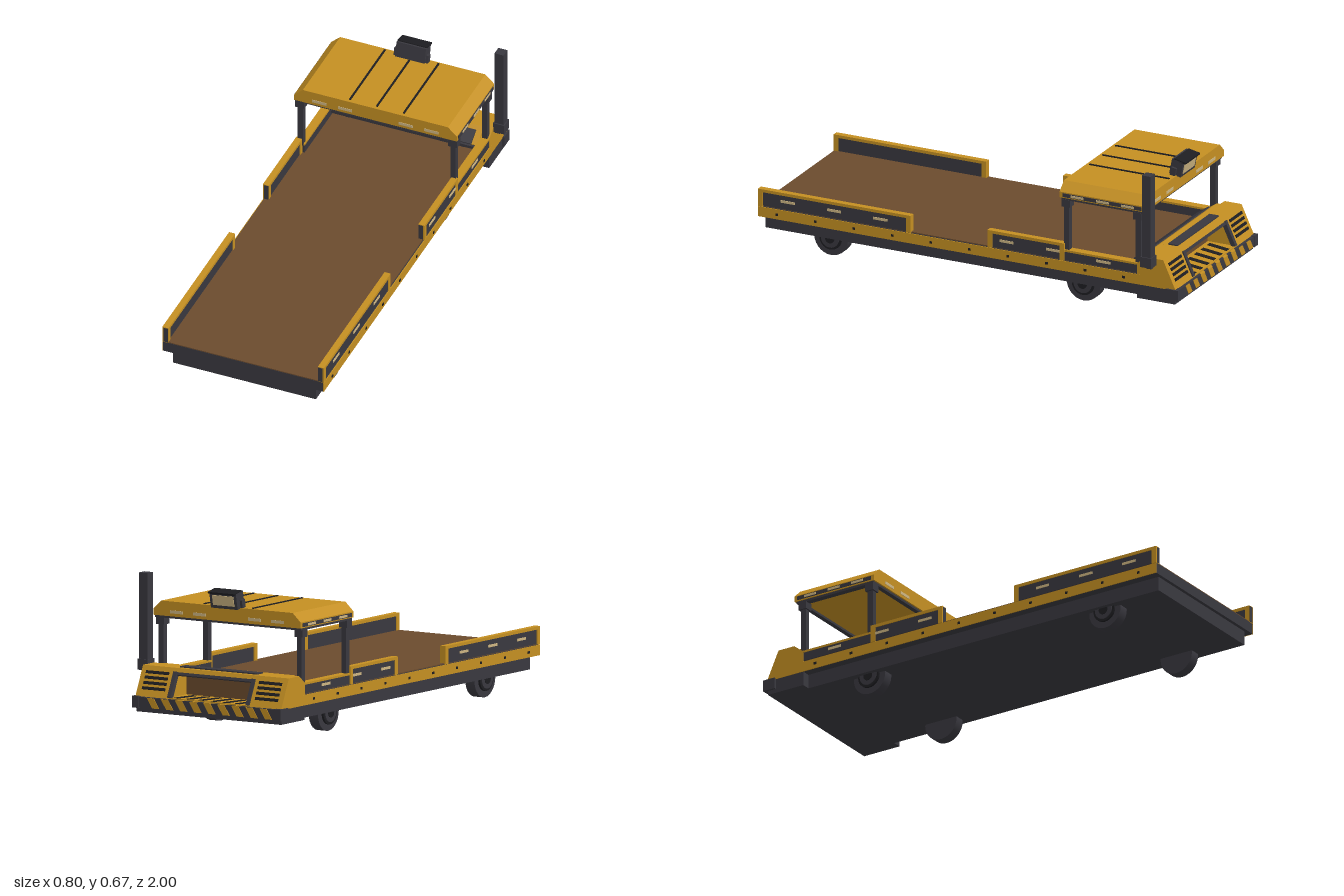
import * as THREE from 'three';

const material = (name, color, side = THREE.FrontSide) => {
  const m = new THREE.MeshStandardMaterial({ color, side });
  m.name = name;
  return m;
};

export function createModel() {
  const yellow = material('yellow paint', 0xc48f22);
  const dark = material('dark steel', 0x39383f);
  const black = material('black trim', 0x1d1d21);
  const brown = material('brown deck', 0x6b4b2d);
  const tan = material('tan lamp', 0xcdb582);

  const root = new THREE.Group();
  const body = new THREE.Group();
  body.name = 'truckBody';
  body.position.x = -0.022;
  root.add(body);

  const add = (name, geometry, mat, parent = body) => {
    const mesh = new THREE.Mesh(geometry, mat);
    mesh.name = name;
    parent.add(mesh);
    return mesh;
  };
  // Box given by its extents
  const box = (name, mat, x0, x1, y0, y1, z0, z1, parent = body) => {
    const g = new THREE.BoxGeometry(x1 - x0, y1 - y0, z1 - z0);
    g.translate((x0 + x1) / 2, (y0 + y1) / 2, (z0 + z1) / 2);
    return add(name, g, mat, parent);
  };
  // The same box on both sides
  const pair = (name, mat, x0, x1, ...rest) => {
    box(name, mat, x0, x1, ...rest);
    box(name, mat, -x1, -x0, ...rest);
  };
  const extrude = (pts, depth) => new THREE.ExtrudeGeometry(
    new THREE.Shape(pts.map(p => new THREE.Vector2(...p))), { depth, bevelEnabled: false });
  // Side profile of [z, y] points carried from x0 to x1
  const profile = (name, mat, pts, x0, x1) =>
    add(name, extrude(pts, x1 - x0).rotateY(-Math.PI / 2).translate(x1, 0, 0), mat);

  // Chassis and deck
  box('chassis', dark, -0.33, 0.33, 0.087, 0.15, -0.98, 0.985);
  box('rearChassis', dark, -0.37, 0.37, 0.087, 0.15, -0.98, -0.8);
  box('bedFrame', dark, -0.369, 0.369, 0.15, 0.197, -0.83, 1);
  box('deck', brown, -0.366, 0.366, 0.197, 0.201, -0.83, 0.999);
  pair('sill', yellow, 0.369, 0.373, 0.15, 0.195, -0.82, 1);
  for (let i = 0; i < 10; i++) {
    const z = 0.91 - i * 0.183;
    pair('sillBolt', black, 0.373, 0.376, 0.167, 0.177, z - 0.006, z + 0.006);
  }

  // Side boards with yellow frames and reflectors
  for (const [z0, z1, marks] of [[0.275, 1, [0.86, 0.64, 0.42]], [-0.455, -0.09, [-0.18, -0.4]]]) {
    pair('boardPanel', dark, 0.349, 0.369, 0.2, 0.263, z0 + 0.005, z1 - 0.005);
    pair('boardCap', yellow, 0.345, 0.373, 0.262, 0.275, z0, z1);
    for (const z of [z0, z1 - 0.022]) pair('boardPost', yellow, 0.345, 0.373, 0.197, 0.262, z, z + 0.022);
    pair('boardEnd', dark, 0.347, 0.367, 0.2, 0.272, z1, z1 + 0.001);
    for (const z of marks) pair('reflector', tan, 0.369, 0.372, 0.229, 0.24, z - 0.033, z + 0.033);
  }
  pair('cabRail', dark, 0.335, 0.37, 0.2, 0.238, -0.81, -0.455);
  pair('cabRailCap', yellow, 0.335, 0.372, 0.238, 0.247, -0.81, -0.455);
  pair('reflector', tan, 0.37, 0.373, 0.217, 0.228, -0.673, -0.607);

  // Wheels with stepped hubs
  for (const s of [-1, 1]) for (const z of [0.69, -0.51]) {
    const wheel = new THREE.Group();
    wheel.name = 'wheel';
    wheel.position.set(s * 0.274, 0.08, z);
    body.add(wheel);
    for (const [name, r, w, off, mat] of [['tyre', 0.08, 0.047, 0, dark], ['rim', 0.052, 0.012, 0.027, black],
      ['hub', 0.042, 0.02, 0.027, dark], ['hubCap', 0.022, 0.024, 0.027, black]]) {
      add(name, new THREE.CylinderGeometry(r, r, w, 28).rotateZ(Math.PI / 2).translate(s * off, 0, 0), mat, wheel);
    }
  }

  // Rear body: two side blocks around an open bay
  const side = [[-0.8, 0.15], [-0.8, 0.245], [-0.845, 0.28], [-0.925, 0.28], [-0.983, 0.153], [-0.983, 0.15]];
  profile('rearBlock', yellow, side, 0.2, 0.372);
  profile('rearBlock', yellow, side, -0.372, -0.2);
  profile('bayTop', yellow, [[-0.82, 0.258], [-0.845, 0.28], [-0.925, 0.28], [-0.936, 0.256]], -0.2, 0.2);
  box('bayLid', dark, -0.197, 0.197, 0.279, 0.285, -0.905, -0.86);
  box('bayWall', brown, -0.2, 0.2, 0.15, 0.262, -0.85, -0.83);
  box('bayFloor', yellow, -0.2, 0.2, 0.15, 0.158, -0.983, -0.85);
  for (let i = 0; i < 6; i++) {
    const x = -0.18 + i * 0.062;
    add('floorStripe', extrude([[x, 0.87], [x + 0.025, 0.87], [x + 0.05, 0.975], [x + 0.025, 0.975]], 0.002)
      .rotateX(-Math.PI / 2).translate(0, 0.158, 0), black);
  }
  // Rear slope, with y along the slope, for frame and louvres
  const slope = new THREE.Group();
  slope.name = 'rearSlope';
  slope.position.set(0, 0.153, -0.983);
  slope.rotation.x = Math.atan2(0.058, 0.127);
  body.add(slope);
  for (const s of [-1, 1]) {
    box('bayFrame', dark, s * 0.2 - 0.009, s * 0.2 + 0.009, 0.005, 0.122, -0.006, 0.014, slope);
    for (let i = 0; i < 4; i++) {
      const y = 0.032 + i * 0.024;
      box('louvre', black, s * 0.288 - 0.058, s * 0.288 + 0.058, y, y + 0.012, -0.005, 0.004, slope);
    }
  }
  box('bayFrameTop', dark, -0.2, 0.2, 0.108, 0.12, -0.004, 0.012, slope);

  // Striped bumper
  box('bumper', dark, -0.372, 0.372, 0.107, 0.153, -0.997, -0.95);
  pair('bumperCap', dark, 0.345, 0.38, 0.105, 0.155, -0.999, -0.94);
  for (let i = 0; i < 9; i++) {
    const x = -0.335 + i * 0.072;
    add('bumperStripe', extrude([[x, 0.108], [x + 0.036, 0.108], [x + 0.064, 0.152], [x + 0.028, 0.152]], 0.002)
      .translate(0, 0, -0.999), yellow);
    if (i > 1 && i < 7) add('bumperTopStripe',
      extrude([[x, 0.97], [x + 0.036, 0.97], [x + 0.06, 0.998], [x + 0.024, 0.998]], 0.002)
        .rotateX(-Math.PI / 2).scale(1, 1, 1).translate(0, 0.152, 0), yellow);
  }

  // Sloping dashboard facing the deck
  profile('dashboard', yellow, [[-0.755, 0.222], [-0.752, 0.23], [-0.825, 0.279], [-0.845, 0.279], [-0.83, 0.222]], -0.335, 0.335);
  profile('dashPanel', dark, [[-0.75, 0.229], [-0.747, 0.234], [-0.803, 0.271], [-0.806, 0.266]], -0.308, 0.308);
  box('dashLip', dark, -0.335, 0.335, 0.213, 0.226, -0.83, -0.742);
  pair('dashFoot', dark, 0.258, 0.272, 0.2, 0.213, -0.78, -0.755);
  pair('dashBase', yellow, 0.2, 0.335, 0.2, 0.213, -0.83, -0.79);

  // Cab posts
  for (const z of [-0.462, -0.803]) {
    pair('cabPost', dark, 0.34, 0.365, 0.24, 0.476, z - 0.013, z + 0.013);
    pair('postBracket', dark, 0.332, 0.374, 0.443, 0.476, z - 0.02, z + 0.02);
  }

  // Canopy
  const canopy = [[-0.376, 0.484], [0.376, 0.484], [0.376, 0.51], [0.335, 0.548], [-0.335, 0.548], [-0.376, 0.51]];
  add('canopy', extrude(canopy, 0.405).translate(0, 0, -0.84), yellow);
  pair('canopyFrame', dark, 0.345, 0.372, 0.474, 0.485, -0.832, -0.442);
  for (const z of [-0.832, -0.462]) box('canopyCrossFrame', dark, -0.345, 0.345, 0.474, 0.485, z, z + 0.02);
  pair('canopySideStrip', dark, 0.375, 0.379, 0.489, 0.505, -0.825, -0.45);
  for (const z of [-0.52, -0.64, -0.76]) pair('canopyReflector', tan, 0.378, 0.381, 0.492, 0.502, z - 0.03, z + 0.03);
  for (const z of [-0.842, -0.436]) {
    pair('canopyLamp', tan, 0.108, 0.173, 0.497, 0.51, z, z + 0.003);
    pair('canopyLamp', tan, 0.225, 0.291, 0.497, 0.51, z, z + 0.003);
  }
  for (const x of [-0.124, 0, 0.124]) box('canopySeam', black, x - 0.004, x + 0.004, 0.547, 0.552, -0.83, -0.45);

  // Tilted work light facing backwards
  const light = new THREE.Group();
  light.name = 'workLight';
  light.position.set(0.003, 0.548, -0.822);
  light.rotation.x = -0.2;
  body.add(light);
  box('lightHousing', dark, -0.068, 0.068, 0, 0.07, -0.035, 0.02, light);
  box('lightBracket', dark, -0.079, 0.079, 0.0, 0.036, -0.012, 0.012, light);
  box('lightLens', tan, -0.054, 0.054, 0.014, 0.058, -0.038, -0.034, light);
  box('lightHood', black, -0.068, 0.068, 0.066, 0.074, -0.046, 0.01, light);

  // Exhaust stack
  box('exhaustStack', dark, 0.375, 0.417, 0.25, 0.668, -0.888, -0.846);
  box('exhaustCollar', dark, 0.37, 0.422, 0.252, 0.298, -0.893, -0.841);
  box('exhaustFoot', dark, 0.37, 0.395, 0.238, 0.255, -0.88, -0.855);

  return root;
}
